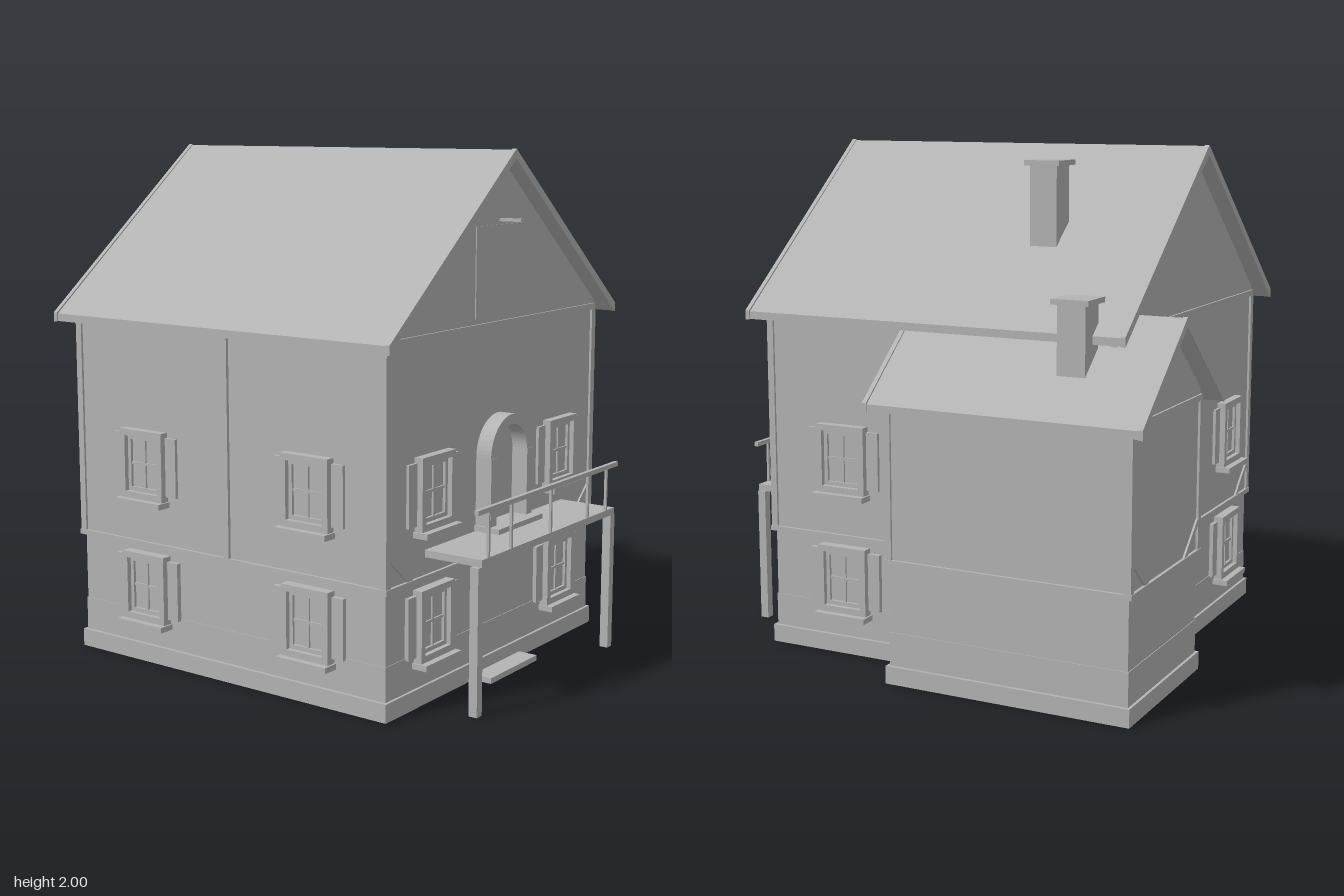
import * as THREE from 'three';

const grey = new THREE.MeshStandardMaterial({ color: 0xb3b3b3 });
grey.name = 'plain grey';

export function createModel() {
  const root = new THREE.Group();
  root.name = 'house';

  // box given by its limits on each axis
  const box = (name, x0, x1, y0, y1, z0, z1, parent = root) => {
    const m = new THREE.Mesh(new THREE.BoxGeometry(x1 - x0, y1 - y0, z1 - z0), grey);
    m.position.set((x0 + x1) / 2, (y0 + y1) / 2, (z0 + z1) / 2);
    m.name = name;
    parent.add(m);
    return m;
  };
  // outline in x, y extruded from z0 to z1
  const prism = (name, pts, z0, z1, parent = root) => {
    const shape = new THREE.Shape(pts.map(p => new THREE.Vector2(...p)));
    const m = new THREE.Mesh(new THREE.ExtrudeGeometry(shape, { depth: z1 - z0, bevelEnabled: false }), grey);
    m.position.z = z0;
    m.name = name;
    parent.add(m);
    return m;
  };

  // gabled block: base, plinth, timbered upper floor and roof
  const block = (name, cx, half, z0, z1, roofHalf, ridge, eave, wallTop, rz0, rz1) => {
    const g = new THREE.Group();
    g.name = name;
    root.add(g);
    const slope = (ridge - eave) / roofHalf, t = 0.03;
    box('plinth', cx - half - 0.005, cx + half + 0.005, 0, 0.07, z0 - 0.01, z1 + 0.01, g);
    box('plinthBand', cx - half + 0.009, cx + half - 0.009, 0.07, 0.2, z0 + 0.001, z1 - 0.001, g);
    box('lowerWall', cx - half + 0.012, cx + half - 0.012, 0.07, 0.47, z0 + 0.004, z1 - 0.004, g);
    const w = half - 0.006, peak = ridge - t;
    prism('upperWall', [[cx - w, 0.47], [cx + w, 0.47], [cx + w, peak - slope * w],
      [cx, peak], [cx - w, peak - slope * w]], z0, z1, g);
    // sill beam and top beam
    box('sillBeam', cx - half - 0.006, cx + half + 0.006, 0.465, 0.485, z0 - 0.012, z1 + 0.012, g);
    box('topBeam', cx - half, cx + half, wallTop - 0.025, wallTop, z0 - 0.008, z1 + 0.008, g);
    // corner posts and diagonal braces
    for (const s of [-1, 1]) {
      for (const [z, d] of [[z0, -1], [z1, 1]]) {
        const px = cx + s * (half - 0.012), pz = z - d * 0.005;
        box('cornerPost', px - 0.015, px + 0.015, 0.485, wallTop - 0.02, pz - 0.014, pz + 0.014, g);
        const ix = cx + s * (half - 0.025), o = [[0, 0.61], [0, 0.58], [-0.105, 0.485], [-0.14, 0.485]];
        const pts = o.map(([x, y]) => [ix + s * x, y]);
        prism('brace', s > 0 ? pts.reverse() : pts, z - 0.008, z + 0.008, g);
      }
    }
    // roof slab and slightly heavier gable boards
    const chevron = (h, up, th) => [[cx - h, eave + up], [cx - h, eave + up - th], [cx, ridge + up - th],
      [cx + h, eave + up - th], [cx + h, eave + up], [cx, ridge + up]];
    prism('roof', chevron(roofHalf - 0.005, -0.004, t), rz0 + 0.004, rz1 - 0.004, g);
    prism('gableBoard', chevron(roofHalf, 0, t + 0.006), rz0, rz0 + 0.018, g);
    prism('gableBoard', chevron(roofHalf, 0, t + 0.006), rz1 - 0.018, rz1, g);
    return g;
  };
  block('mainHouse', -0.115, 0.74, -0.75, 0.73, 0.805, 2, 1.36, 1.36, -0.815, 0.795);
  block('sideWing', 0.505, 0.34, -0.905, 0.07, 0.405, 1.42, 1.085, 1.085, -0.975, 0.13);
  box('middlePost', -0.861, -0.845, 0.485, 1.34, -0.005, 0.02);

  // shuttered window, built facing +z around its centre
  const windowAt = (x, y, z, turn) => {
    const g = new THREE.Group();
    g.name = 'window';
    box('pane', -0.1, 0.1, -0.13, 0.13, -0.01, 0.005, g);
    for (const s of [-1, 1]) {
      const side = s * 0.095, top = s * 0.1225;
      box('frameSide', side - 0.0125, side + 0.0125, -0.135, 0.135, -0.01, 0.035, g);
      box('frameRail', -0.0825, 0.0825, top - 0.0125, top + 0.0125, -0.01, 0.035, g);
      const sash = s * 0.075;
      box('sashSide', sash - 0.008, sash + 0.008, -0.11, 0.11, 0, 0.016, g);
      const sashY = s * 0.102;
      box('sashRail', -0.08, 0.08, sashY - 0.008, sashY + 0.008, 0, 0.016, g);
      const sh = s * 0.133;
      box('shutter', sh - 0.026, sh + 0.026, -0.115, 0.115, -0.01, 0.012, g);
    }
    box('glazingBarUpright', -0.005, 0.005, -0.1, 0.1, 0, 0.012, g);
    box('glazingBarCross', -0.075, 0.075, -0.005, 0.005, 0, 0.012, g);
    box('windowSill', -0.115, 0.115, -0.157, -0.135, -0.01, 0.062, g);
    g.position.set(x, y, z);
    g.rotation.y = turn;
    root.add(g);
  };
  for (const y of [0.307, 0.793]) {
    windowAt(-0.565, y, 0.73, 0);
    windowAt(0.335, y, 0.73, 0);
    windowAt(0.62, y, 0.395, Math.PI / 2);
    windowAt(-0.85, y, 0.395, -Math.PI / 2);
    windowAt(-0.85, y, -0.4, -Math.PI / 2);
    windowAt(-0.565, y, -0.75, Math.PI);
  }

  // arched balcony door
  const cx = -0.115;
  const arch = new THREE.Shape();
  arch.moveTo(cx + 0.15, 0.86);
  arch.absarc(cx, 0.86, 0.15, 0, Math.PI, false);
  arch.lineTo(cx - 0.11, 0.86);
  arch.absarc(cx, 0.86, 0.11, Math.PI, 0, true);
  const archMesh = new THREE.Mesh(
    new THREE.ExtrudeGeometry(arch, { depth: 0.065, bevelEnabled: false, curveSegments: 16 }), grey);
  archMesh.position.z = 0.73;
  archMesh.name = 'doorArch';
  root.add(archMesh);
  for (const s of [-1, 1]) {
    const x = cx + s * 0.13;
    box('doorJamb', x - 0.02, x + 0.02, 0.6, 0.86, 0.73, 0.797);
  }
  box('doorThreshold', cx - 0.16, cx + 0.16, 0.58, 0.6, 0.73, 0.84);
  box('groundStep', cx - 0.17, cx + 0.17, 0, 0.022, 0.73, 0.82);

  // attic hatch with hoist hook above it
  box('atticHatch', -0.285, 0.06, 1.38, 1.72, 0.729, 0.734);
  box('hoistArm', cx - 0.006, cx + 0.006, 1.732, 1.744, 0.73, 0.822);

  // balcony
  box('balconyDeck', -0.605, 0.385, 0.55, 0.577, 0.73, 0.972);
  for (const x of [-0.607, 0.378])
    box('balconyPost', x - 0.017, x + 0.017, 0, 0.55, 0.935, 0.97);
  for (const x of [-0.555, -0.4, -0.115, 0.17, 0.32])
    box('baluster', x - 0.005, x + 0.005, 0.577, 0.745, 0.962, 0.972);
  box('handrail', -0.635, 0.405, 0.743, 0.761, 0.958, 0.975);

  // chimneys: x, z, foot, cap height
  for (const [x, z, y0, y1] of [[0.29, -0.33, 1.6, 1.93], [0.69, -0.632, 1.2, 1.47]]) {
    box('chimney', x - 0.055, x + 0.055, y0, y1, z - 0.055, z + 0.055);
    box('chimneyCap', x - 0.073, x + 0.073, y1, y1 + 0.02, z - 0.073, z + 0.073);
  }
  return root;
}
